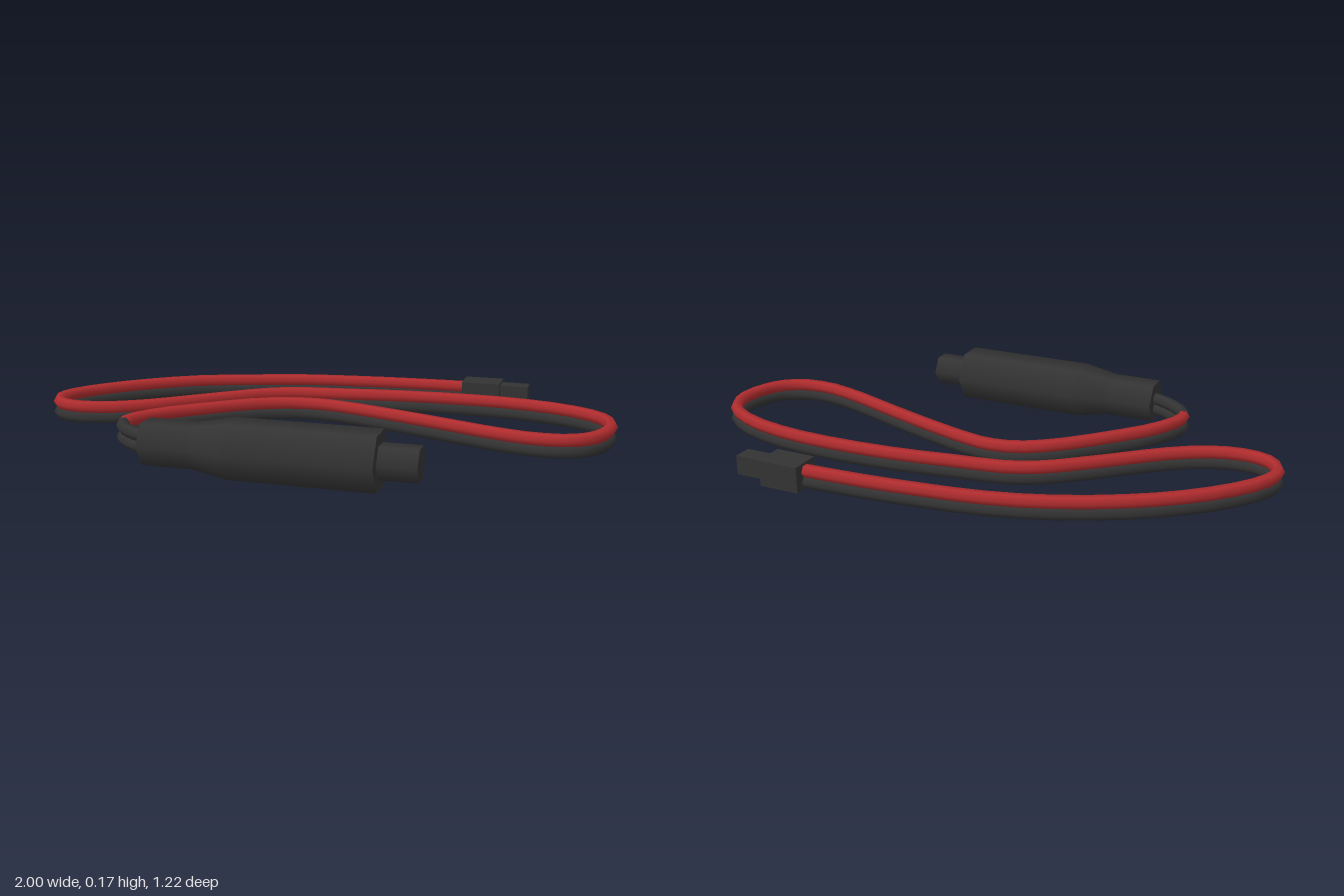
import * as THREE from 'three';

const black = new THREE.MeshStandardMaterial({ color: 0x333333 });
black.name = 'black plastic';
const red = new THREE.MeshStandardMaterial({ color: 0xb02c2e });
red.name = 'red insulation';

// Cable route on the ground, as x, z pairs from the plug to the holder
const route = [
  [0.42, -0.56], [0.2, -0.55], [0, -0.53], [-0.2, -0.5], [-0.4, -0.44], [-0.6, -0.35], [-0.75, -0.25],
  [-0.88, -0.13], [-0.96, -0.02], [-0.977, 0.06], [-0.935, 0.13], [-0.85, 0.153], [-0.74, 0.13],
  [-0.62, 0.06], [-0.5, -0.04], [-0.37, -0.15], [-0.27, -0.225], [-0.17, -0.268], [0, -0.295],
  [0.2, -0.325], [0.45, -0.338], [0.65, -0.325], [0.82, -0.28], [0.935, -0.205], [0.976, -0.11],
  [0.96, 0], [0.92, 0.07], [0.85, 0.113], [0.74, 0.12], [0.6, 0.085], [0.4, 0.01], [0.2, -0.06],
  [0.05, -0.105], [-0.04, -0.12], [-0.14, -0.105], [-0.25, -0.045], [-0.4, 0.09], [-0.52, 0.22],
  [-0.575, 0.33], [-0.57, 0.385], [-0.52, 0.447], [-0.43, 0.5], [-0.38, 0.51],
];
const last = route.length - 1;
const curve = new THREE.CatmullRomCurve3(route.map(([x, z], i) => {
  const lift = i < 5 ? -0.003 : 0.014 * THREE.MathUtils.smoothstep(i, 33, 38);
  return new THREE.Vector3(x, 0.067 + lift, z);
}));

// Sweep a level six-sided section along part of the route
function wire(name, material, offset, from, to) {
  const sides = 6, radius = 0.022, rings = Math.round((to - from) * 2);
  const pos = [], nor = [], idx = [];
  for (let i = 0; i <= rings; i++) {
    const t = (from + (to - from) * i / rings) / last;
    const p = curve.getPoint(t), d = curve.getTangent(t);
    const side = new THREE.Vector3(-d.z, 0, d.x).normalize();
    for (let j = 0; j < sides; j++) {
      const a = j / sides * Math.PI * 2;
      const n = side.clone().multiplyScalar(Math.cos(a));
      n.y = Math.sin(a);
      nor.push(n.x, n.y, n.z);
      pos.push(p.x + n.x * radius, p.y + offset + n.y * radius, p.z + n.z * radius);
      if (i < rings) {
        const k = (j + 1) % sides, a0 = i * sides + j, a1 = i * sides + k;
        idx.push(a0, a1, a0 + sides, a1, a1 + sides, a0 + sides);
      }
    }
  }
  const g = new THREE.BufferGeometry();
  g.setAttribute('position', new THREE.Float32BufferAttribute(pos, 3));
  g.setAttribute('normal', new THREE.Float32BufferAttribute(nor, 3));
  // Make the faces point outwards
  const [A, B, C] = [0, 1, 2].map(i => new THREE.Vector3().fromArray(pos, idx[i] * 3));
  const face = B.clone().sub(A).cross(C.clone().sub(A));
  if (face.dot(new THREE.Vector3().fromArray(nor, 0)) < 0) idx.reverse();
  g.setIndex(idx);
  const m = new THREE.Mesh(g, material);
  m.name = name;
  return m;
}

// Six-sided section of the holder along x
function hexSection(name, x0, x1, r0, r1, open) {
  const g = new THREE.CylinderGeometry(r1, r0, x1 - x0, 6, 1, open);
  g.rotateZ(-Math.PI / 2);
  const m = new THREE.Mesh(g, black);
  m.name = name;
  m.position.set((x0 + x1) / 2, 0.0885, 0.507);
  return m;
}

function box(name, x0, x1, y0, y1, z0, z1) {
  const m = new THREE.Mesh(new THREE.BoxGeometry(x1 - x0, y1 - y0, z1 - z0), black);
  m.name = name;
  m.position.set((x0 + x1) / 2, (y0 + y1) / 2, (z0 + z1) / 2);
  return m;
}

export function createModel() {
  const model = new THREE.Group();
  model.name = 'cableWithHolder';

  // Twin wires, stacked; the upper one is covered in black near the holder
  const cable = new THREE.Group();
  cable.name = 'cable';
  cable.add(
    wire('redWire', red, 0.019, 0, 38.7),
    wire('blackCover', black, 0.019, 38.7, last),
    wire('blackWire', black, -0.019, 0, last),
  );

  // Tapered holder with a narrow tip
  const holder = new THREE.Group();
  holder.name = 'holder';
  holder.add(
    hexSection('holderNeck', -0.43, -0.26, 0.078, 0.078, false),
    hexSection('holderTaper', -0.26, -0.14, 0.078, 0.101, true),
    hexSection('holderBody', -0.14, 0.335, 0.101, 0.101, false),
    hexSection('holderTip', 0.33, 0.46, 0.059, 0.059, false),
  );

  // Plug at the other end
  const plug = new THREE.Group();
  plug.name = 'plug';
  plug.add(
    box('plugHousing', 0.405, 0.547, 0.022, 0.111, -0.61, -0.505),
    box('plugNose', 0.54, 0.65, 0.036, 0.102, -0.591, -0.527),
  );

  model.add(cable, holder, plug);
  return model;
}
